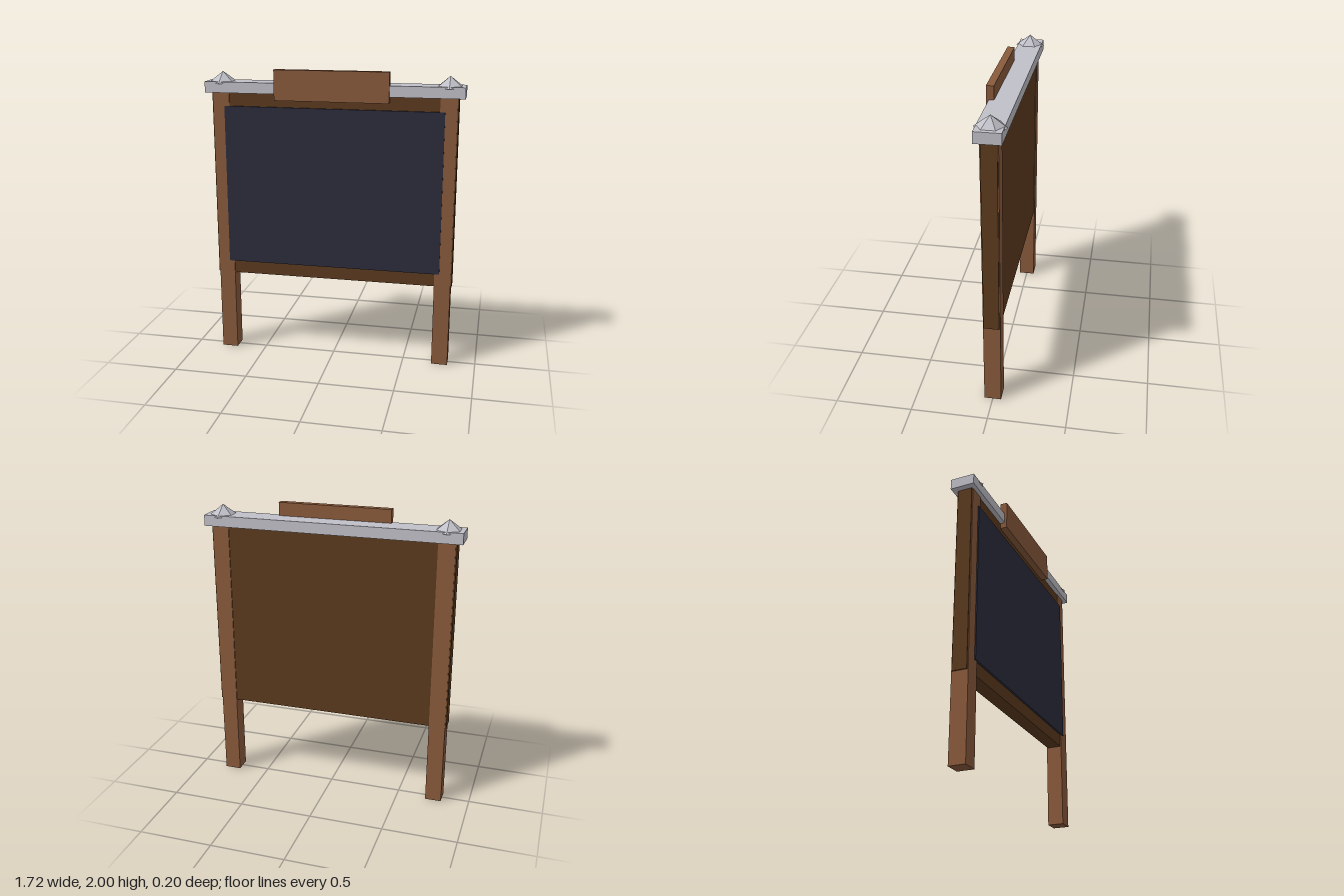
import * as THREE from 'three';

export function createModel() {
  const model = new THREE.Group();
  model.name = 'noticeBoard';

  const material = (name, color) => {
    const m = new THREE.MeshStandardMaterial({ color, flatShading: true });
    m.name = name;
    return m;
  };
  const wood = material('brown wood', 0x8a5a3c);
  const darkWood = material('dark wood', 0x5c3a1e);
  const slate = material('slate', 0x2d2d3d);
  const metal = material('pale metal', 0xc0c0c8);

  const add = (name, geometry, mat, x, y, z) => {
    const mesh = new THREE.Mesh(geometry, mat);
    mesh.name = name;
    mesh.position.set(x, y, z);
    model.add(mesh);
  };
  // box given by its width, vertical range and depth range
  const box = (name, mat, x, width, y0, y1, z0, z1) =>
    add(name, new THREE.BoxGeometry(width, y1 - y0, z1 - z0), mat, x, (y0 + y1) / 2, (z0 + z1) / 2);

  // backing panel and writing surface
  box('backPanel', darkWood, 0, 1.64, 0.57, 1.845, -0.049, 0.049);
  box('writingBoard', slate, 0, 1.47, 0.66, 1.75, 0.045, 0.063);

  // top rail with the header sign in front
  box('topRail', metal, 0, 1.72, 1.84, 1.912, -0.082, 0.082);
  box('headerSign', wood, 0, 0.76, 1.8, 2.0, 0.05, 0.098);

  // posts and six-sided finials, sunk slightly into the rail
  for (const [side, s] of [['left', 1], ['right', -1]]) {
    box(side + 'Post', wood, s * 0.757, 0.11, 0, 1.85, -0.055, 0.055);
    add(side + 'Finial', new THREE.ConeGeometry(0.1, 0.075, 6), metal, s * 0.757, 1.938, 0);
  }

  return model;
}
